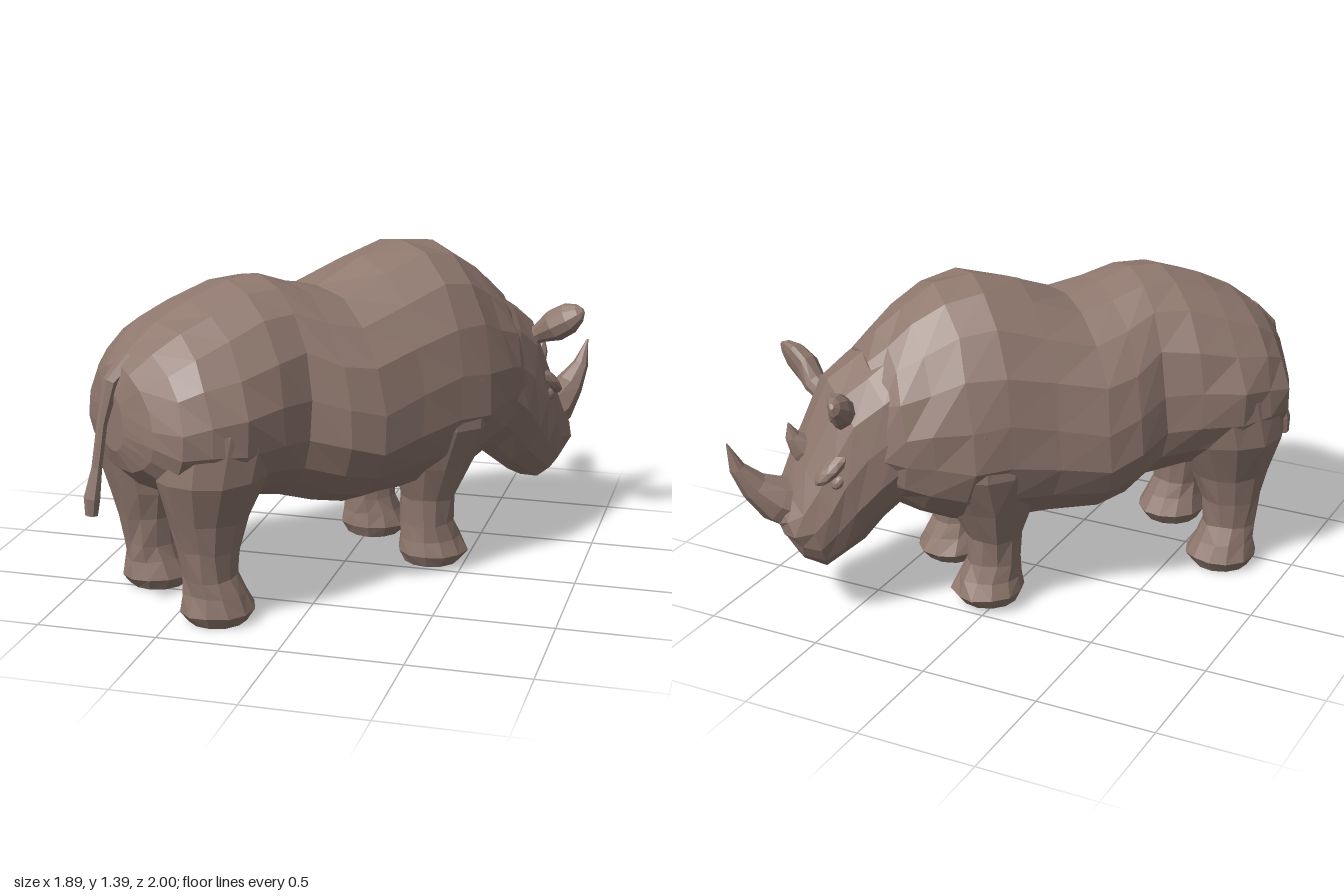
import * as THREE from 'three';

const V = (x, y, z) => new THREE.Vector3(x, y, z);
const hide = new THREE.MeshStandardMaterial({ color: 0x8f786e, flatShading: true });
hide.name = 'greyBrownHide';

// Repeatable, mirror-symmetric unevenness for a hand-cut faceted surface
function roughen(p, amount) {
  const h = (k) => {
    const s = Math.sin(Math.abs(p.x) * 127.1 + p.y * 311.7 + p.z * 74.7 + k * 53.3) * 43758.5453;
    return s - Math.floor(s) - 0.5;
  };
  const a = h(1), b = h(2), c = h(3);
  if (Math.abs(p.x) > 0.002) p.x += Math.sign(p.x) * a * amount;
  p.y += b * amount;
  p.z += c * amount;
}

// Closed skin over a row of rings with equal point counts; faces outward
function loft(name, rings, rough = 0) {
  if (rough) rings.slice(1).forEach((r) => r.forEach((p) => roughen(p, rough)));
  const tris = [], n = rings[0].length;
  for (let i = 0; i < rings.length - 1; i++) {
    for (let j = 0; j < n; j++) {
      const k = (j + 1) % n;
      const a = rings[i][j], b = rings[i][k], c = rings[i + 1][k], d = rings[i + 1][j];
      if (j < n / 2) tris.push([a, b, c], [a, c, d]);
      else tris.push([a, b, d], [b, c, d]);
    }
  }
  const middle = (r) => r.reduce((s, p) => s.add(p), V(0, 0, 0)).divideScalar(n);
  const first = rings[0], last = rings[rings.length - 1];
  const m0 = middle(first), m1 = middle(last);
  for (let j = 0; j < n; j++) {
    const k = (j + 1) % n;
    tris.push([m0, first[k], first[j]], [m1, last[j], last[k]]);
  }
  const volume = tris.reduce((s, [a, b, c]) => s + a.dot(b.clone().cross(c)), 0);
  if (volume < 0) tris.forEach((t) => t.reverse());
  const geo = new THREE.BufferGeometry().setFromPoints(tris.flat());
  geo.computeVertexNormals();
  const mesh = new THREE.Mesh(geo, hide);
  mesh.name = name;
  return mesh;
}

// Cross-section from its top and bottom on the centre plane, its half width,
// and the share of the height at which it is widest
function spanRing([zt, yt, zb, yb, hw], n, power, widest) {
  return Array.from({ length: n }, (_, j) => {
    const a = (j / n) * Math.PI * 2, c = Math.cos(a), s = Math.sin(a);
    const sx = Math.abs(s) < 1e-6 ? 0 : Math.sign(s) * Math.abs(s) ** power;
    const t = widest + c * (c > 0 ? 1 - widest : widest);
    return V(sx * hw, yb + t * (yt - yb), zb + t * (zt - zb));
  });
}

// Horizontal leg section: height, forward position, side position, two radii
const legRing = (side) => ([y, z, x, rz, rx]) =>
  Array.from({ length: 12 }, (_, j) => {
    const a = ((j + 0.5) / 12) * Math.PI * 2;
    return V(side * (x + rx * Math.cos(a)), y, z + rz * Math.sin(a));
  });

// Round taper along the centre plane: rows of forward position, height, radius
function taper(name, rows, n, flat = 1) {
  const rings = rows.map(([z, y, r], i) => {
    const p = rows[Math.max(i - 1, 0)], q = rows[Math.min(i + 1, rows.length - 1)];
    const dir = V(0, q[1] - p[1], q[0] - p[0]).normalize();
    const up = V(0, dir.z, -dir.y);
    return Array.from({ length: n }, (_, j) => {
      const a = (j / n) * Math.PI * 2;
      return V(r * flat * Math.sin(a), y, z).addScaledVector(up, r * Math.cos(a));
    });
  });
  return loft(name, rings);
}

// Leaf-shaped ear: rounder behind than in front, along a slanting axis
function ear(side) {
  const base = V(0.14, 0.91, 0.88), tip = V(0.36, 1.06, 0.99);
  const axis = tip.clone().sub(base).normalize();
  const front = V(0.3, 0.2, 1).addScaledVector(axis, -V(0.3, 0.2, 1).dot(axis)).normalize();
  const across = axis.clone().cross(front);
  const rings = [[-0.1, 0.035, 0.04], [0.2, 0.045, 0.05], [0.48, 0.072, 0.072], [0.75, 0.068, 0.062], [0.93, 0.04, 0.035], [1, 0.012, 0.012]]
    .map(([t, w, d]) => Array.from({ length: 10 }, (_, j) => {
      const a = (j / 10) * Math.PI * 2, s = Math.sin(a);
      const depth = t > 0.3 && s > 0 ? 0.4 * s * d : s * d;
      const p = base.clone().lerp(tip, t).addScaledVector(across, w * Math.cos(a)).addScaledVector(front, depth);
      p.x *= side;
      return p;
    }));
  return loft('ear', rings);
}

function lump(name, pos, scale, tilt) {
  const mesh = new THREE.Mesh(new THREE.IcosahedronGeometry(1, 1), hide);
  mesh.name = name;
  mesh.position.set(...pos);
  mesh.scale.set(...scale);
  mesh.rotation.x = tilt;
  return mesh;
}

export function createModel() {
  const model = new THREE.Group();
  model.name = 'rhinoceros';

  // Barrel, hump and rump: forward position, bottom, top, half width
  const bodyRows = [
    [-1.095, 0.7, 0.94, 0.1], [-1.06, 0.62, 1.04, 0.27], [-0.985, 0.55, 1.12, 0.39], [-0.88, 0.49, 1.2, 0.445],
    [-0.74, 0.45, 1.265, 0.47], [-0.57, 0.44, 1.325, 0.45], [-0.42, 0.42, 1.335, 0.41], [-0.28, 0.36, 1.29, 0.48],
    [-0.13, 0.33, 1.255, 0.51], [0.08, 0.33, 1.335, 0.475], [0.28, 0.33, 1.4, 0.465], [0.44, 0.36, 1.37, 0.445],
    [0.58, 0.42, 1.28, 0.385], [0.68, 0.48, 1.2, 0.33], [0.75, 0.56, 1.12, 0.27],
  ];
  model.add(loft('body', bodyRows.map(([z, b, t, w]) => spanRing([z, t, z, b, w], 18, 0.95, 0.42)), 0.02));

  // Head, hanging forward and down from the neck
  const headRows = [
    [0.64, 1.2, 0.48, 0.5, 0.3], [0.78, 1.1, 0.6, 0.5, 0.3], [0.9, 1.02, 0.71, 0.41, 0.27],
    [0.975, 0.86, 0.8, 0.33, 0.245], [1.04, 0.71, 0.88, 0.27, 0.222], [1.095, 0.59, 0.96, 0.235, 0.2],
    [1.14, 0.53, 1.05, 0.28, 0.16], [1.155, 0.48, 1.11, 0.38, 0.08],
  ];
  model.add(loft('head', headRows.map((r) => spanRing(r, 14, 0.82, 0.47)), 0.014));

  // Horns
  model.add(taper('frontHorn', [[1.03, 0.49, 0.115], [1.14, 0.54, 0.098], [1.225, 0.61, 0.062], [1.29, 0.7, 0.033], [1.325, 0.81, 0.003]], 8, 1.1));
  model.add(taper('rearHorn', [[0.95, 0.69, 0.09], [1.02, 0.75, 0.06], [1.055, 0.8, 0.032], [1.07, 0.86, 0.003]], 7, 0.9));

  // Tail with a thicker tip
  model.add(taper('tail', [[-1.0, 1.06, 0.045], [-1.09, 0.98, 0.035], [-1.135, 0.82, 0.022], [-1.165, 0.64, 0.022], [-1.19, 0.52, 0.034], [-1.195, 0.45, 0.026]], 7));

  // Leg sections from sole up to the shoulder or thigh that merges into the body
  const frontLeg = [
    [0.03, 0.3, 0.22, 0.12, 0.12], [0.075, 0.305, 0.22, 0.152, 0.148], [0.14, 0.295, 0.22, 0.13, 0.125],
    [0.21, 0.275, 0.22, 0.113, 0.113], [0.33, 0.275, 0.225, 0.12, 0.118], [0.48, 0.29, 0.24, 0.18, 0.155],
    [0.66, 0.32, 0.265, 0.235, 0.185], [0.86, 0.33, 0.255, 0.245, 0.19], [1.05, 0.33, 0.18, 0.15, 0.15],
  ];
  const hindLeg = [
    [0.005, -0.775, 0.25, 0.12, 0.12], [0.055, -0.77, 0.25, 0.155, 0.15], [0.13, -0.785, 0.25, 0.13, 0.125],
    [0.2, -0.805, 0.25, 0.113, 0.108], [0.32, -0.81, 0.25, 0.128, 0.12], [0.44, -0.805, 0.245, 0.168, 0.148],
    [0.62, -0.79, 0.265, 0.242, 0.188], [0.82, -0.75, 0.26, 0.265, 0.2], [1.0, -0.71, 0.18, 0.22, 0.18],
    [1.12, -0.69, 0.12, 0.12, 0.12],
  ];
  for (const side of [-1, 1]) {
    model.add(loft('frontLeg', frontLeg.map(legRing(side)), 0.012));
    model.add(loft('hindLeg', hindLeg.map(legRing(side)), 0.012));
    model.add(ear(side));
    // Eye set under a brow ridge
    model.add(lump('eye', [side * 0.21, 0.665, 0.93], [0.026, 0.026, 0.036], 0.8));
    model.add(lump('brow', [side * 0.18, 0.72, 0.945], [0.055, 0.035, 0.1], 0.75));
  }

  // The animal stands diagonally, facing back and to its +x side
  const root = new THREE.Group();
  root.name = 'rhinocerosModel';
  model.rotation.y = Math.atan2(0.665, -0.747);
  root.add(model);
  return root;
}
